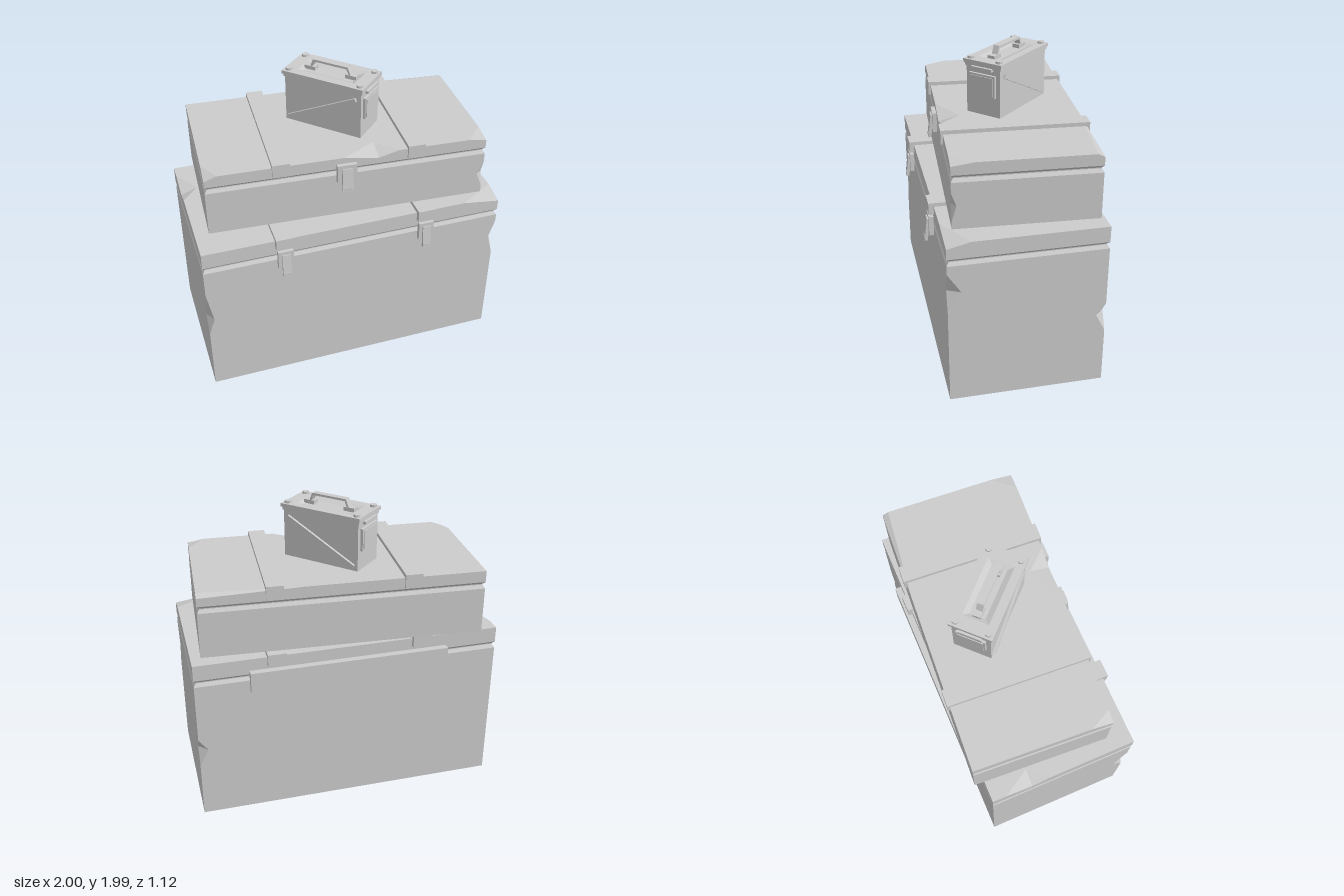
import * as THREE from 'three';

const grey = new THREE.MeshStandardMaterial({ color: 0xcccccc, flatShading: true });

function add(parent, name, geo, x = 0, y = 0, z = 0) {
  const m = new THREE.Mesh(geo, grey);
  m.name = name;
  m.position.set(x, y, z);
  parent.add(m);
  return m;
}
const box = (w, h, d) => new THREE.BoxGeometry(w, h, d);

function fromTriangles(points) {
  const geo = new THREE.BufferGeometry();
  geo.setAttribute('position', new THREE.Float32BufferAttribute(points.flat(), 3));
  geo.computeVertexNormals();
  return geo;
}

// Box of half sizes h with notched edges and chipped corners.
// Edge dent: s has 0 on the running axis, t = [lo, mid, hi] along it, cut = depth per axis.
// Corner chip: s has no 0, cut = length removed along each of the three edges.
function dentedBox(h, edgeDents, chips = []) {
  const tris = [];
  const corner = s => s.map((v, i) => v * h[i]);
  const moved = (s, axis, d) => { const p = corner(s); p[axis] -= s[axis] * d; return p; };
  const onEdge = (dent, e, pos) => { const p = corner(dent.s); p[e] = pos; return p; };
  const onFace = (dent, e, n) => {
    const m = 3 - e - n, p = onEdge(dent, e, dent.t[1]);
    p[m] -= dent.s[m] * dent.cut[m];
    return p;
  };
  for (let n = 0; n < 3; n++) for (const side of [-1, 1]) {
    const u = (n + 1) % 3, v = (n + 2) % 3, poly = [];
    const loop = [[-1, -1], [1, -1], [1, 1], [-1, 1]].map(([a, b]) => {
      const s = [0, 0, 0]; s[n] = side; s[u] = a; s[v] = b; return s;
    });
    if (side < 0) loop.reverse();
    loop.forEach((s, i) => {
      const next = loop[(i + 1) % 4], e = s[u] !== next[u] ? u : v;
      const chip = chips.find(c => c.s.every((k, j) => k === s[j]));
      if (chip) poly.push(moved(s, u + v - e, chip.cut[u + v - e]), moved(s, e, chip.cut[e]));
      else poly.push(corner(s));
      const dent = edgeDents.find(d => d.s[e] === 0 && d.s.every((k, j) => j === e || k === s[j]));
      if (dent) {
        const pts = [onEdge(dent, e, dent.t[0]), onFace(dent, e, n), onEdge(dent, e, dent.t[2])];
        poly.push(...(next[e] > 0 ? pts : pts.reverse()));
      }
    });
    const flat = poly.map(p => new THREE.Vector2(p[u], p[v] * side));
    for (const f of THREE.ShapeUtils.triangulateShape(flat, [])) tris.push(poly[f[0]], poly[f[1]], poly[f[2]]);
  }
  // Facets closing the cuts, turned outward
  const facet = (s, a, b, c) => {
    const [A, B, C] = [a, b, c].map(p => new THREE.Vector3(...p));
    const out = B.sub(A).cross(C.sub(A)).dot(new THREE.Vector3(...s)) > 0;
    tris.push(a, ...(out ? [b, c] : [c, b]));
  };
  for (const d of edgeDents) {
    const e = d.s.indexOf(0), a = onFace(d, e, (e + 1) % 3), b = onFace(d, e, (e + 2) % 3);
    facet(d.s, onEdge(d, e, d.t[0]), a, b);
    facet(d.s, onEdge(d, e, d.t[2]), a, b);
  }
  for (const c of chips) facet(c.s, ...[0, 1, 2].map(i => moved(c.s, i, c.cut[i])));
  return fromTriangles(tris);
}

// Rectangular rings [halfX, y, halfZ] joined from bottom to top, last ring capped
function rectLoft(rings) {
  const tris = [];
  const pts = rings.map(([x, y, z]) => [[-x, y, z], [x, y, z], [x, y, -z], [-x, y, -z]]);
  for (let i = 0; i + 1 < pts.length; i++) for (let k = 0; k < 4; k++) {
    const j = (k + 1) % 4, a = pts[i], b = pts[i + 1];
    tris.push(a[k], a[j], b[j], a[k], b[j], b[k]);
  }
  const t = pts.at(-1);
  tris.push(t[0], t[1], t[2], t[0], t[2], t[3]);
  return fromTriangles(tris);
}

// Groove between a crate body and its lid
const groove = (x, z, y) => rectLoft([[x, y, z], [x - 0.015, y + 0.022, z - 0.015],
  [x - 0.015, y + 0.028, z - 0.015], [x, y + 0.045, z]]);

// Toggle latch with its top edge at y = 0 and its back at z = 0
function latch(parent, x, y, z, w) {
  const g = new THREE.Group();
  g.name = 'latch';
  g.position.set(x, y, z);
  add(g, 'latchPlate', box(w, 0.13, 0.03), 0, -0.065, 0.012);
  add(g, 'latchLever', box(w * 0.55, 0.155, 0.02), 0, -0.1, 0.036).rotation.x = -0.12;
  add(g, 'latchHook', box(w * 0.45, 0.03, 0.02), 0, -0.165, 0.045);
  parent.add(g);
}

function largeCrate() {
  const g = new THREE.Group();
  g.name = 'largeCrate';
  const c = 0.4875;
  add(g, 'crateBody', dentedBox([1, c, 0.495], [
    { s: [1, 0, 1], t: [0.65 - c, 0.79 - c, 0.92 - c], cut: [0.04, 0, 0.085] },
    { s: [1, 0, -1], t: [0.38 - c, 0.5 - c, 0.58 - c], cut: [0.06, 0, 0.06] },
    { s: [-1, 0, 1], t: [0.46 - c, 0.58 - c, 0.8 - c], cut: [0.04, 0, 0.07] },
  ]), 0, c, 0);
  add(g, 'crateGroove', groove(1, 0.495, 0.975));
  add(g, 'crateLid', dentedBox([1, 0.0525, 0.495],
    [{ s: [-1, 1, 0], t: [-0.4, -0.22, -0.1], cut: [0.11, 0.035, 0] }],
    [{ s: [1, 1, 1], cut: [0.25, 0.035, 0.15] }]), 0, 1.0725, 0);
  for (const x of [-0.475, 0.475]) {
    add(g, 'lidStrap', box(0.12, 0.08, 1.05), x, 1.11, 0.003);
    latch(g, x, 1.05, 0.5, 0.1);
  }
  add(g, 'hingeBar', box(1.3, 0.145, 0.045), 0, 0.972, -0.515);
  return g;
}

function smallCrate() {
  const g = new THREE.Group();
  g.name = 'smallCrate';
  const hx = 0.902, hz = 0.447, c = 0.15;
  add(g, 'crateBody', dentedBox([hx, 0.15, hz], [
    { s: [1, 0, 1], t: [0.05 - c, 0.15 - c, 0.235 - c], cut: [0.04, 0, 0.03] },
  ]), 0, c, 0);
  add(g, 'crateGroove', groove(hx, hz, 0.3));
  add(g, 'crateLid', dentedBox([hx, 0.0375, hz],
    [{ s: [0, 1, 1], t: [-0.04, 0.19, 0.32], cut: [0, 0.035, 0.13] }],
    [{ s: [-1, 1, 1], cut: [0.08, 0.03, 0.14] },
      { s: [1, 1, 1], cut: [0.11, 0.02, 0.14] },
      { s: [1, 1, -1], cut: [0.65, 0.02, 0.04] }]), 0, 0.3825, 0);
  for (const x of [-0.432, 0.432]) add(g, 'lidStrap', box(0.11, 0.09, 0.925), x, 0.4, 0);
  latch(g, -0.02, 0.38, hz, 0.125);
  g.position.set(0.0125, 1.155, -0.06);
  g.rotation.y = -0.06;
  return g;
}

function metalCan() {
  const g = new THREE.Group();
  g.name = 'metalCan';
  add(g, 'canBody', box(0.54, 0.31, 0.25), 0, 0.155, 0);
  add(g, 'canNeck', box(0.555, 0.02, 0.262), 0, 0.32, 0);
  // Lid with a shallow tray sunk into its top
  add(g, 'canLid', rectLoft([[0.2, 0.328, 0.1], [0.285, 0.33, 0.14], [0.285, 0.353, 0.14],
    [0.2, 0.353, 0.085], [0.17, 0.34, 0.05]]));
  for (const s of [-1, 1]) {
    for (const z of [-0.105, 0.105])
      add(g, 'lidRivet', new THREE.CylinderGeometry(0.022, 0.022, 0.016, 8), s * 0.25, 0.36, z);
    add(g, 'endPanel', box(0.02, 0.145, 0.19), s * 0.277, 0.2, 0);
    add(g, 'endPanelInset', box(0.008, 0.12, 0.165), s * 0.288, 0.2, 0);
    add(g, 'endClip', box(0.025, 0.018, 0.15), s * 0.283, 0.308, 0);
    // Slanted side rib
    add(g, 'sideRib', box(0.54, 0.024, 0.022), -0.005, 0.15, s * 0.13).rotation.z = Math.atan2(0.24, 0.48);
    // Handle foot and leg
    add(g, 'handleFoot', box(0.075, 0.026, 0.05), s * 0.145, 0.352, 0);
    add(g, 'handleLeg', box(0.013, 0.056, 0.042), s * 0.127, 0.386, 0).rotation.z = s * 0.38;
  }
  add(g, 'handleGrip', box(0.235, 0.014, 0.042), 0, 0.407, 0);
  g.position.set(0.02, 1.575, -0.08);
  g.rotation.y = -0.795;
  return g;
}

export function createModel() {
  const model = new THREE.Group();
  model.name = 'stackedCrates';
  model.add(largeCrate(), smallCrate(), metalCan());
  return model;
}
